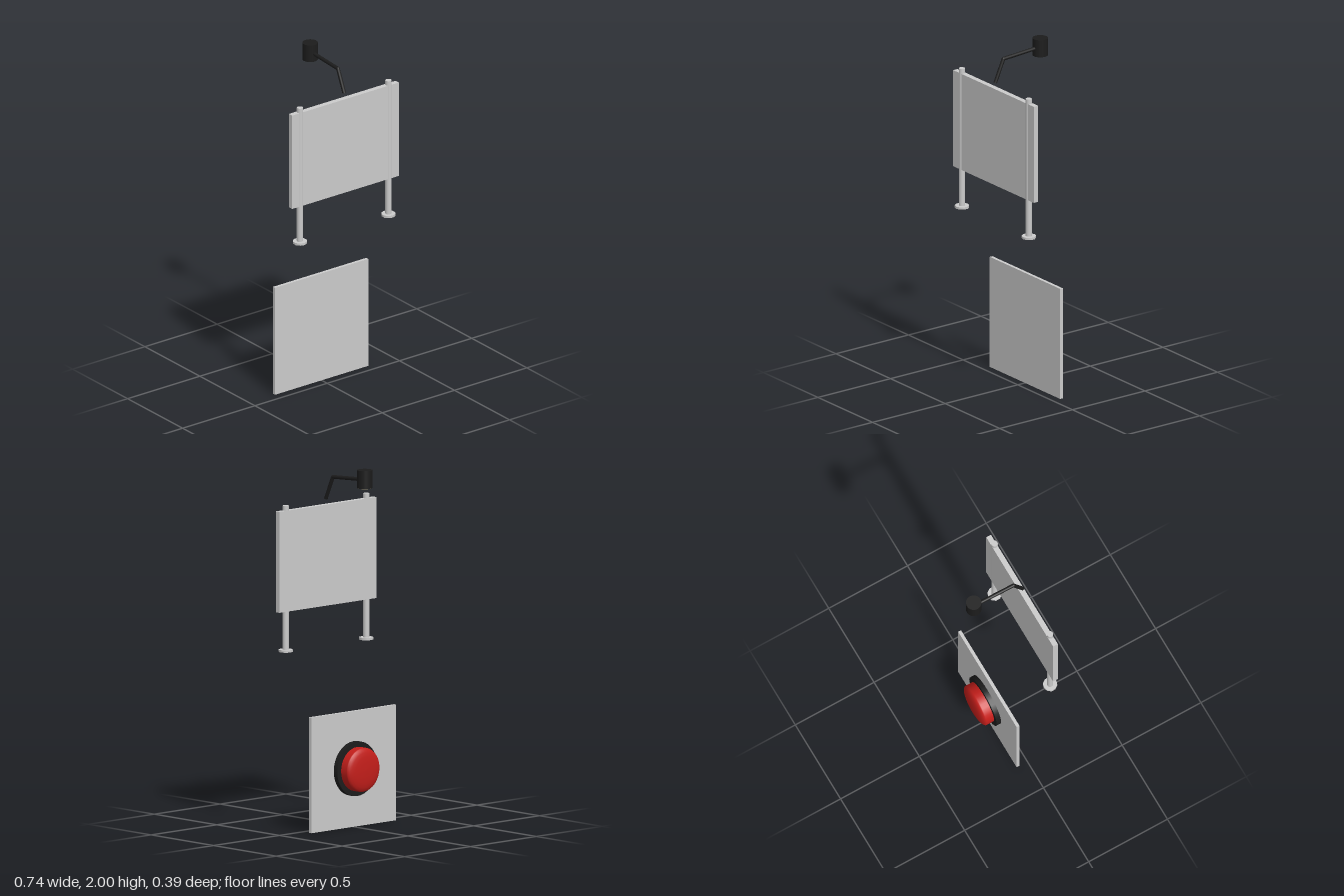
import * as THREE from 'three';

export function createModel() {
  const model = new THREE.Group();
  const grey = new THREE.MeshStandardMaterial({ color: 0xcccccc });
  const black = new THREE.MeshStandardMaterial({ color: 0x1c1c1c });
  const red = new THREE.MeshStandardMaterial({ color: 0xc41e1a });
  const tan = new THREE.MeshStandardMaterial({ color: 0x8f8468 });

  function add(name, geometry, material, x, y, z, parent = model) {
    const mesh = new THREE.Mesh(geometry, material);
    mesh.name = name;
    mesh.position.set(x, y, z);
    parent.add(mesh);
    return mesh;
  }

  // Round rod between two points
  function rod(name, a, b, radius, parent) {
    const dir = b.clone().sub(a);
    const mid = a.clone().add(b).multiplyScalar(0.5);
    const mesh = add(name, new THREE.CylinderGeometry(radius, radius, dir.length(), 12),
      black, mid.x, mid.y, mid.z, parent);
    mesh.quaternion.setFromUnitVectors(new THREE.Vector3(0, 1, 0), dir.normalize());
  }

  // Lower panel with the push button on its back
  add('lowerPanel', new THREE.BoxGeometry(0.645, 0.645, 0.018), grey, 0, 0.3225, -0.059);

  const button = new THREE.Group();
  button.name = 'pushButton';
  button.position.set(0, 0.326, -0.068);
  button.rotation.x = -Math.PI / 2; // local y points to the back
  model.add(button);
  add('buttonBase', new THREE.CylinderGeometry(0.152, 0.152, 0.028, 32), black, 0, 0.014, 0, button);
  const capProfile = [
    [0.123, 0], [0.123, 0.046], [0.121, 0.052], [0.113, 0.059],
    [0.098, 0.065], [0.075, 0.07], [0.04, 0.073], [0, 0.074],
  ].map(([r, h]) => new THREE.Vector2(r, h));
  add('buttonCap', new THREE.LatheGeometry(capProfile, 32), red, 0, 0.026, 0, button);

  // Upper board carried by two posts with round feet
  add('upperBoard', new THREE.BoxGeometry(0.738, 0.563, 0.03), grey, 0, 1.4915, 0.152);
  for (const side of [-1, 1]) {
    const x = side * 0.306;
    add('post', new THREE.CylinderGeometry(0.0175, 0.0175, 0.81, 16), grey, x, 1.395, 0.154);
    add('postFoot', new THREE.CylinderGeometry(0.04, 0.04, 0.013, 10), grey, x, 0.991, 0.154);
  }

  // Bent lamp arm reaching over to the back
  const lamp = new THREE.Group();
  lamp.name = 'lamp';
  model.add(lamp);
  const foot = new THREE.Vector3(0, 1.804, 0.155);
  const elbow = new THREE.Vector3(0, 1.932, 0.098);
  const head = new THREE.Vector3(0, 1.945, -0.13);
  rod('lowerArm', foot, elbow, 0.0105, lamp);
  rod('upperArm', elbow, head, 0.0105, lamp);
  add('armElbow', new THREE.SphereGeometry(0.0105, 12, 8), black, elbow.x, elbow.y, elbow.z, lamp);

  // Lamp head with its lens underneath
  add('lampHead', new THREE.CylinderGeometry(0.043, 0.043, 0.1, 20), black, 0, 1.95, -0.155, lamp);
  add('lampLens', new THREE.CylinderGeometry(0.038, 0.038, 0.004, 20), tan, 0, 1.9, -0.155, lamp);

  return model;
}
